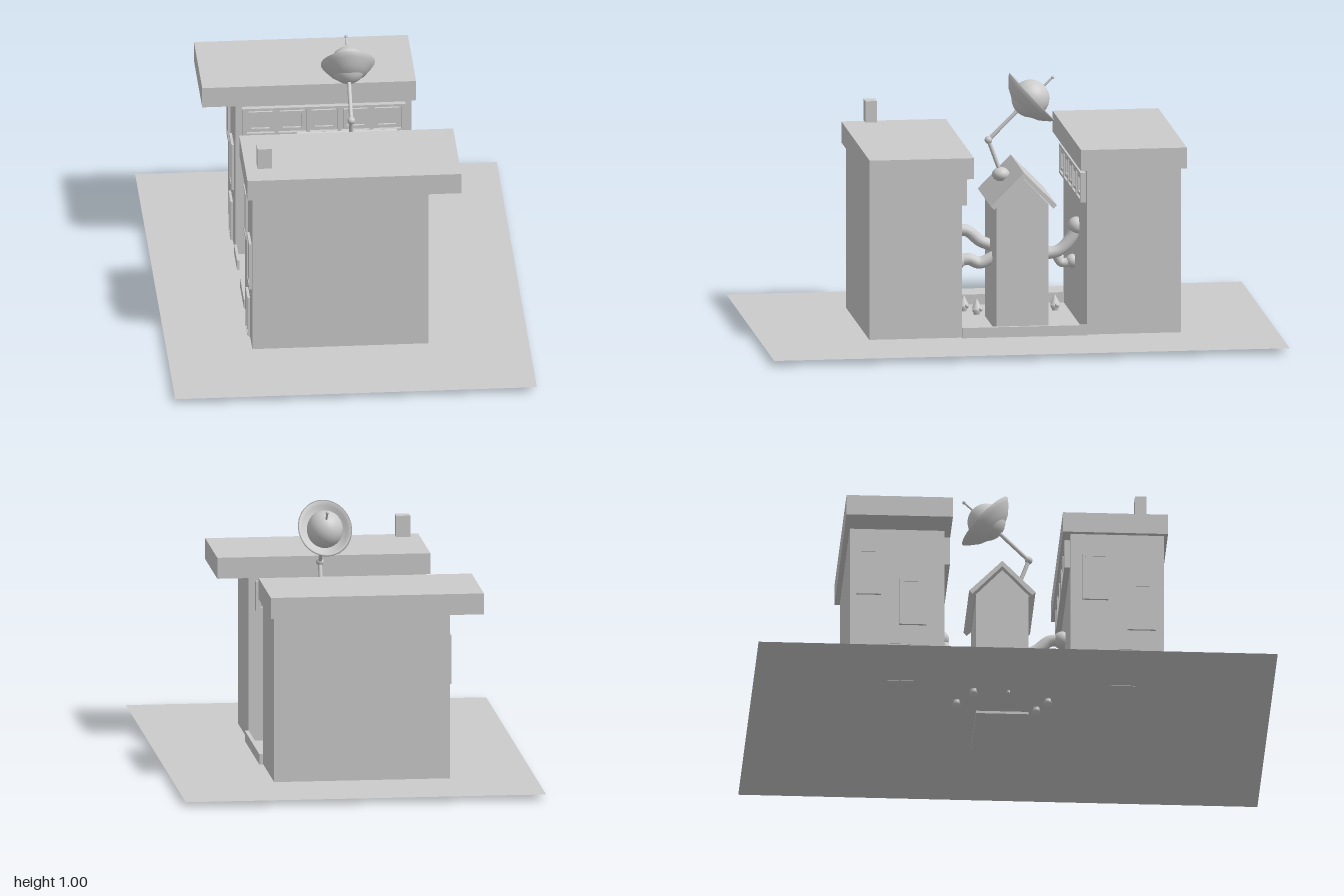
import * as THREE from 'three';

const mat = new THREE.MeshStandardMaterial({ color: 0xcccccc });
const thin = new THREE.MeshStandardMaterial({ color: 0xcccccc, side: THREE.DoubleSide });

function add(parent, name, geo, x = 0, y = 0, z = 0, m = mat) {
  const mesh = new THREE.Mesh(geo, m);
  mesh.name = name;
  mesh.position.set(x, y, z);
  parent.add(mesh);
  return mesh;
}

// Box given by its min and max on each axis
function box(parent, name, x0, x1, y0, y1, z0, z1) {
  return add(parent, name, new THREE.BoxGeometry(x1 - x0, y1 - y0, z1 - z0),
    (x0 + x1) / 2, (y0 + y1) / 2, (z0 + z1) / 2);
}

function sheet(parent, name, x0, x1, y, z0, z1) {
  const geo = new THREE.PlaneGeometry(x1 - x0, z1 - z0).rotateX(-Math.PI / 2);
  return add(parent, name, geo, (x0 + x1) / 2, y, (z0 + z1) / 2, thin);
}

// Round rod between two points
function rod(parent, name, a, b, r) {
  const p = new THREE.Vector3(...a), q = new THREE.Vector3(...b);
  const mesh = add(parent, name, new THREE.CylinderGeometry(r, r, p.distanceTo(q), 12));
  mesh.position.copy(p).lerp(q, 0.5);
  mesh.quaternion.setFromUnitVectors(new THREE.Vector3(0, 1, 0), q.sub(p).normalize());
  return mesh;
}

const rect = (C, x, y, w, h) => new C([
  new THREE.Vector2(x - w / 2, y - h / 2), new THREE.Vector2(x + w / 2, y - h / 2),
  new THREE.Vector2(x + w / 2, y + h / 2), new THREE.Vector2(x - w / 2, y + h / 2)]);

// Flat frame with openings, facing +z
function frame(w, h, holes, depth) {
  const shape = rect(THREE.Shape, 0, 0, w, h);
  shape.holes = holes.map(o => rect(THREE.Path, ...o));
  return new THREE.ExtrudeGeometry(shape, { depth, bevelEnabled: false });
}

// Row of five framed windows
function windowRow() {
  const g = new THREE.Group();
  g.name = 'windowRow';
  const xs = [-2, -1, 0, 1, 2].map(i => i * 0.122);
  add(g, 'rowFrame', frame(0.63, 0.115, xs.map(x => [x, 0, 0.108, 0.095]), 0.022));
  add(g, 'rowPanes', new THREE.BoxGeometry(0.62, 0.105, 0.008), 0, 0, 0.004);
  for (const x of xs) add(g, 'windowFrame', frame(0.094, 0.082, [[0, 0, 0.07, 0.058]], 0.018), x);
  return g;
}

// Window or door on the -x wall
function sideOpening(parent, name, z0, z1, y0, y1) {
  const w = z1 - z0, h = y1 - y0;
  const g = new THREE.Group();
  g.name = name;
  add(g, name + 'Frame', frame(w, h, [[0, 0, w - 0.02, h - 0.02]], 0.01));
  add(g, name + 'Panel', new THREE.BoxGeometry(w - 0.015, h - 0.015, 0.007), 0, 0, 0.0035);
  g.rotation.y = -Math.PI / 2;
  g.position.set(-0.37, (y0 + y1) / 2, (z0 + z1) / 2);
  parent.add(g);
}

// Pipe through points with ball joints at the wall end
function pipe(parent, pts, r) {
  const curve = new THREE.CatmullRomCurve3(pts.map(p => new THREE.Vector3(...p)));
  add(parent, 'pipe', new THREE.TubeGeometry(curve, 28, r, 14, false), 0, 0, 0, thin);
  add(parent, 'pipeCollar', new THREE.SphereGeometry(r * 1.5, 18, 12), ...pts[0]);
}

function building(name, z0, z1, roof, openings) {
  const g = new THREE.Group();
  g.name = name;
  box(g, 'walls', -0.37, 0.31, 0.02, 0.67, z0, z1);
  box(g, 'flatRoof', roof[0], roof[1], 0.663, 0.745, roof[2], roof[3]);
  for (const o of openings) sideOpening(g, ...o);
  return g;
}

function dish() {
  const g = new THREE.Group();
  g.name = 'dish';
  const pts = [[0, -0.06], [0.045, -0.055], [0.085, -0.035], [0.115, -0.008], [0.129, 0.008],
    [0.122, 0.01], [0.108, -0.002], [0.08, -0.025], [0.045, -0.042], [0, -0.046]];
  const bowl = add(g, 'bowl', new THREE.LatheGeometry(pts.map(p => new THREE.Vector2(...p)), 40), 0, 0, 0, thin);
  bowl.scale.x = 0.81;
  const ball = add(g, 'receiverBall', new THREE.SphereGeometry(0.073, 32, 20));
  ball.scale.x = 0.95;
  rod(g, 'antenna', [0, 0.06, 0], [0, 0.118, 0], 0.004);
  add(g, 'antennaTip', new THREE.SphereGeometry(0.007, 12, 8), 0, 0.118, 0);
  g.rotation.x = -0.82;
  g.position.set(0.05, 0.9, -0.08);
  return g;
}

// Little garden figure with a pointed cap
function gardenFigure(parent, x, z, turn) {
  const g = new THREE.Group();
  g.name = 'gardenFigure';
  const body = [[0, 0], [0.017, 0], [0.012, 0.012], [0.012, 0.025], [0.018, 0.034], [0.016, 0.046], [0, 0.05]];
  add(g, 'figureBody', new THREE.LatheGeometry(body.map(p => new THREE.Vector2(...p)), 14));
  add(g, 'figureCap', new THREE.ConeGeometry(0.019, 0.036, 14), 0, 0.065, 0);
  add(g, 'figureNose', new THREE.SphereGeometry(0.008, 10, 8), 0.018, 0.042, 0);
  g.position.set(x, 0, z);
  g.rotation.y = turn;
  parent.add(g);
}

export function createModel() {
  const model = new THREE.Group();
  model.name = 'courtyardBuildings';

  // Ground and pavement strip
  sheet(model, 'ground', -0.7, 0.695, 0.02, -1, 1);
  sheet(model, 'pavement', -0.54, -0.375, 0.023, -0.84, 0.78);

  // Two facing blocks
  const front = building('frontBuilding', 0.22, 0.58, [-0.39, 0.435, 0.19, 0.595], [
    ['window', 0.265, 0.365, 0.385, 0.575], ['window', 0.44, 0.55, 0.26, 0.452], ['door', 0.37, 0.47, 0.018, 0.185]]);
  const back = building('backBuilding', -0.63, -0.265, [-0.5, 0.325, -0.65, -0.24], [
    ['window', -0.605, -0.51, 0.385, 0.575], ['window', -0.44, -0.335, 0.26, 0.452], ['door', -0.485, -0.385, 0.018, 0.185]]);
  box(front, 'chimney', -0.345, -0.29, 0.757, 0.84, 0.47, 0.515);
  const rowA = windowRow(), rowB = windowRow();
  rowA.position.set(-0.03, 0.59, -0.265);
  rowB.position.set(-0.03, 0.59, 0.22);
  rowB.rotation.y = Math.PI;
  back.add(rowA);
  front.add(rowB);
  model.add(front, back);

  // Low courtyard walls, with an entrance gap on one side
  box(model, 'courtyardWall', 0.31, 0.325, 0.02, 0.06, -0.265, 0.22);
  box(model, 'courtyardWall', -0.375, -0.365, 0.02, 0.06, -0.265, -0.125);
  box(model, 'courtyardWall', -0.375, -0.365, 0.02, 0.06, 0.04, 0.22);

  // Middle tower with its gable and two roof slopes
  const tower = new THREE.Group();
  tower.name = 'tower';
  box(tower, 'towerWalls', -0.12, 0.205, 0.01, 0.51, -0.13, 0.073);
  const gable = new THREE.Shape([[-0.105, 0], [0.105, 0], [0, 0.11]].map(p => new THREE.Vector2(...p)));
  const gableGeo = new THREE.ExtrudeGeometry(gable, { depth: 0.325, bevelEnabled: false }).rotateY(Math.PI / 2);
  add(tower, 'gable', gableGeo, -0.12, 0.51, -0.0285);
  const slopes = [[-0.128, 0.515], [0, 0.645], [0.128, 0.515], [0.115, 0.502], [0, 0.622], [-0.115, 0.502]];
  const roofShape = new THREE.Shape(slopes.map(p => new THREE.Vector2(...p)));
  const roofGeo = new THREE.ExtrudeGeometry(roofShape, { depth: 0.385, bevelEnabled: false }).rotateY(Math.PI / 2);
  add(tower, 'pitchedRoof', roofGeo, -0.15, 0, -0.03);
  model.add(tower);

  // Pipes joining the tower to both blocks
  const pipes = new THREE.Group();
  pipes.name = 'pipes';
  pipe(pipes, [[0.005, 0.385, 0.208], [0.005, 0.38, 0.16], [0.005, 0.34, 0.11], [0.005, 0.32, 0.06]], 0.023);
  pipe(pipes, [[0.065, 0.275, 0.208], [0.065, 0.28, 0.16], [0.065, 0.265, 0.12], [0.065, 0.29, 0.06]], 0.023);
  pipe(pipes, [[0.055, 0.4, -0.258], [0.055, 0.35, -0.235], [0.055, 0.305, -0.19], [0.055, 0.29, -0.12]], 0.023);
  pipe(pipes, [[-0.06, 0.24, -0.258], [-0.06, 0.235, -0.215], [-0.06, 0.275, -0.185], [-0.06, 0.29, -0.12]], 0.018);
  model.add(pipes);

  // Dish on its jointed arm
  const base = add(model, 'armBase', new THREE.SphereGeometry(0.034, 24, 16), 0.05, 0.607, 0.035);
  base.scale.y = 0.8;
  rod(model, 'lowerArm', [0.05, 0.61, 0.035], [0.05, 0.742, 0.083], 0.008);
  add(model, 'armJoint', new THREE.SphereGeometry(0.015, 16, 12), 0.05, 0.742, 0.083);
  rod(model, 'upperArm', [0.05, 0.742, 0.083], [0.05, 0.86, -0.035], 0.008);
  model.add(dish());

  // Garden figures and a flower
  const spots = [[-0.315, -0.15], [-0.21, -0.21], [-0.24, 0.14], [-0.16, 0.1]];
  spots.forEach(([x, z], i) => gardenFigure(model, x, z, i * 0.3));
  const flower = new THREE.Group();
  flower.name = 'flower';
  rod(flower, 'stem', [0, 0.01, 0], [0, 0.09, 0], 0.006);
  add(flower, 'flowerHead', new THREE.SphereGeometry(0.014, 14, 10), 0, 0.092, 0);
  for (let i = 0; i < 7; i++) {
    const a = i * Math.PI * 2 / 7;
    add(flower, 'petal', new THREE.SphereGeometry(0.009, 10, 8), Math.cos(a) * 0.019, 0.09, Math.sin(a) * 0.019);
  }
  flower.position.set(-0.31, 0, -0.015);
  model.add(flower);

  return model;
}
